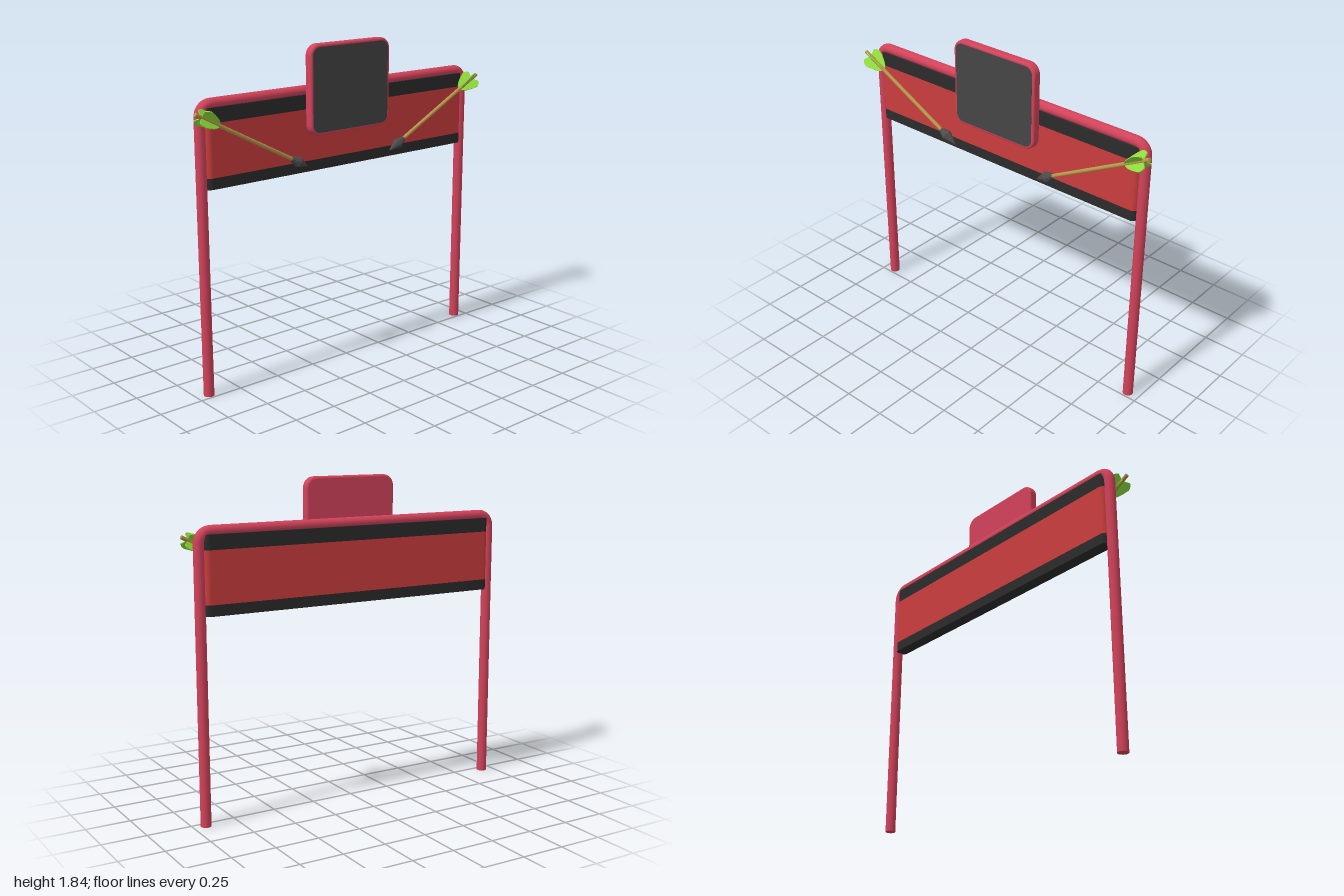
import * as THREE from 'three';

const mat = (color, extra = {}) => new THREE.MeshStandardMaterial({ color, ...extra });
const red = mat(0xd2425a), clothRed = mat(0xcb3d3d), dark = mat(0x2b2b2b), slate = mat(0x454545);
const wood = mat(0xb8954a), steel = mat(0x4c4c4c, { flatShading: true });
const green = mat(0x8fdc3c, { side: THREE.DoubleSide });

function add(parent, name, geometry, material, x = 0, y = 0, z = 0) {
  const mesh = new THREE.Mesh(geometry, material);
  mesh.name = name;
  mesh.position.set(x, y, z);
  parent.add(mesh);
  return mesh;
}

function roundedRect(w, h, r) {
  const s = new THREE.Shape(), x = w / 2, y = h / 2;
  s.moveTo(-x + r, -y);
  s.lineTo(x - r, -y);
  s.absarc(x - r, -y + r, r, -Math.PI / 2, 0);
  s.absarc(x - r, y - r, r, 0, Math.PI / 2);
  s.absarc(-x + r, y - r, r, Math.PI / 2, Math.PI);
  s.absarc(-x + r, -y + r, r, Math.PI, Math.PI * 1.5);
  return s;
}

// Bent pipe: two legs joined by a top rail with rounded corners
function framePath() {
  const X = 0.93, Y = 1.582, r = 0.065;
  const v = (x, y) => new THREE.Vector3(x, y, 0);
  const path = new THREE.CurvePath();
  path.add(new THREE.LineCurve3(v(-X, 0), v(-X, Y - r)));
  const corner = (cx, start) => {
    const pts = [];
    for (let i = 0; i <= 8; i++) {
      const a = start - (i / 8) * Math.PI / 2;
      pts.push(v(cx + r * Math.cos(a), Y - r + r * Math.sin(a)));
    }
    for (let i = 0; i < 8; i++) path.add(new THREE.LineCurve3(pts[i], pts[i + 1]));
  };
  corner(-X + r, Math.PI);
  path.add(new THREE.LineCurve3(v(-X + r, Y), v(X - r, Y)));
  corner(X - r, Math.PI / 2);
  path.add(new THREE.LineCurve3(v(X, Y - r), v(X, 0)));
  return path;
}

// Arrow built along +y, tip at y = 0
function createArrow(length) {
  const arrow = new THREE.Group();
  add(arrow, 'shaft', new THREE.CylinderGeometry(0.011, 0.011, length - 0.08, 12), wood, 0, (length + 0.08) / 2, 0);
  const profile = [[0, 0], [0.031, 0.075], [0.024, 0.095], [0.013, 0.125], [0, 0.125]];
  add(arrow, 'arrowhead', new THREE.LatheGeometry(profile.map(p => new THREE.Vector2(...p)), 8), steel);

  // Feather vanes set in a cross
  const vane = new THREE.Shape();
  vane.moveTo(0.004, length - 0.16);
  vane.quadraticCurveTo(0.035, length - 0.15, 0.06, length - 0.06);
  vane.quadraticCurveTo(0.058, length - 0.035, 0.04, length - 0.025);
  vane.lineTo(0.004, length - 0.04);
  const geometry = new THREE.ExtrudeGeometry(vane, { depth: 0.006, bevelEnabled: false, curveSegments: 6 });
  geometry.translate(0, 0, -0.003);
  for (let i = 0; i < 4; i++) {
    add(arrow, 'vane', geometry, green).rotation.y = Math.PI / 4 + i * Math.PI / 2;
  }
  return arrow;
}

export function createModel() {
  const model = new THREE.Group();
  model.name = 'bannerGate';
  const frameZ = -0.037;

  // Pipe frame with closed feet
  add(model, 'frame', new THREE.TubeGeometry(framePath(), 400, 0.029, 16, false), red, 0, 0, frameZ);
  for (const s of [-1, 1]) {
    add(model, 'footCap', new THREE.CircleGeometry(0.029, 16), red, s * 0.93, 0, frameZ).rotation.x = Math.PI / 2;
  }

  // Banner: red cloth between two dark bands
  const bands = [['bannerLowerBand', 1.14, 1.2, dark], ['bannerCloth', 1.2, 1.485, clothRed], ['bannerUpperBand', 1.485, 1.565, dark]];
  for (const [name, y0, y1, material] of bands) {
    const g = new THREE.ExtrudeGeometry(roundedRect(1.82, 0.07, 0.03), { depth: y1 - y0, bevelEnabled: false, curveSegments: 6 });
    g.rotateX(-Math.PI / 2);
    add(model, name, g, material, 0, y0, frameZ);
  }

  // Sign board with softened rim and dark face
  const b = 0.012;
  const board = new THREE.ExtrudeGeometry(roundedRect(0.56 - 2 * b, 0.495 - 2 * b, 0.05), {
    depth: 0.052 - 2 * b, bevelSize: b, bevelThickness: b, bevelSegments: 4, curveSegments: 8,
  });
  add(model, 'signBoard', board, red, 0, 1.5875, -0.007 + b);
  const face = new THREE.ExtrudeGeometry(roundedRect(0.528, 0.463, 0.045), { depth: 0.006, bevelEnabled: false, curveSegments: 8 });
  add(model, 'signFace', face, slate, 0, 1.5875, 0.04);

  // Mirrored pair of arrows pointing in and down
  const dx = 0.7, dy = 0.37;
  for (const s of [-1, 1]) {
    const arrow = createArrow(Math.hypot(dx, dy));
    arrow.name = s > 0 ? 'leftArrow' : 'rightArrow';
    arrow.position.set(s * 0.295, 1.18, 0.031);
    arrow.rotation.z = -s * Math.atan2(dx, dy);
    model.add(arrow);
  }
  return model;
}
